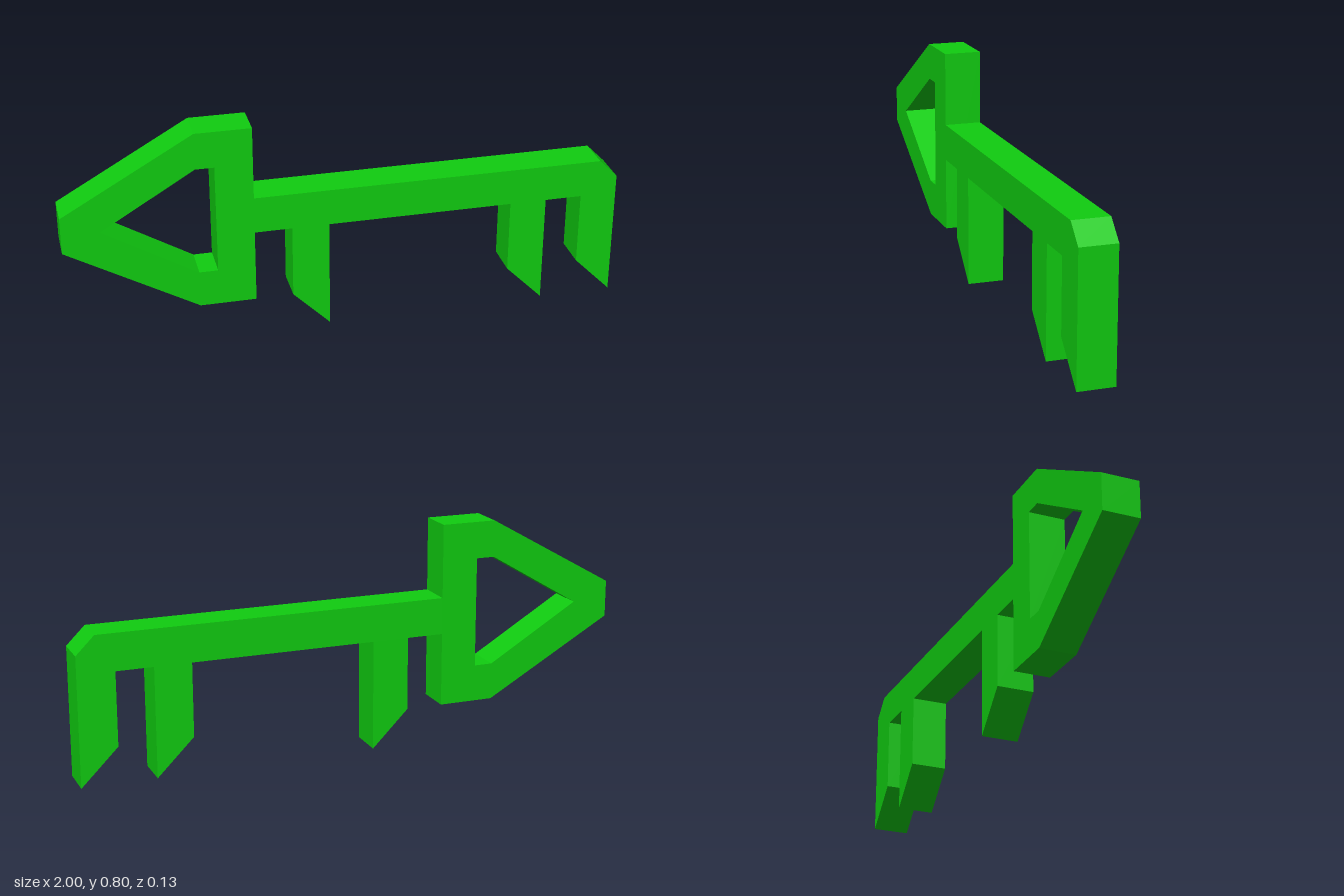
import * as THREE from 'three';

// All sizes are on a grid of 1/15 unit
const U = 1 / 15;
const DEPTH = 2 * U;

const points = (list) => list.map(([x, y]) => new THREE.Vector2(x * U, y * U));

export function createModel() {
  const group = new THREE.Group();
  group.name = 'key';
  const green = new THREE.MeshStandardMaterial({ color: 0x10cc10, flatShading: true });

  // Flat plate cut from an outline, centred on z = 0
  function addPlate(name, outline, hole) {
    const shape = new THREE.Shape(points(outline));
    if (hole) shape.holes.push(new THREE.Path(points(hole)));
    const geometry = new THREE.ExtrudeGeometry(shape, { depth: DEPTH, bevelEnabled: false });
    geometry.translate(0, 0, -DEPTH / 2);
    const mesh = new THREE.Mesh(geometry, green);
    mesh.name = name;
    group.add(mesh);
    return mesh;
  }

  // Arrow-shaped handle with its opening
  addPlate(
    'bow',
    [[-15, 6], [-8, 2], [-5, 2], [-5, 12], [-8, 12], [-15, 8]],
    [[-13, 7], [-8, 10], [-7, 10], [-7, 4], [-8, 4]]
  );

  // Long bar with a chamfered tip
  addPlate('shaft', [[-5, 6], [15, 6], [15, 7], [14, 8], [-5, 8]]);

  // Three teeth with slanted ends
  [-3, 9, 13].forEach((x, i) => {
    const tooth = addPlate(`tooth${i + 1}`, [[0, 2], [2, 0], [2, 6], [0, 6]]);
    tooth.position.x = x * U;
  });

  return group;
}
